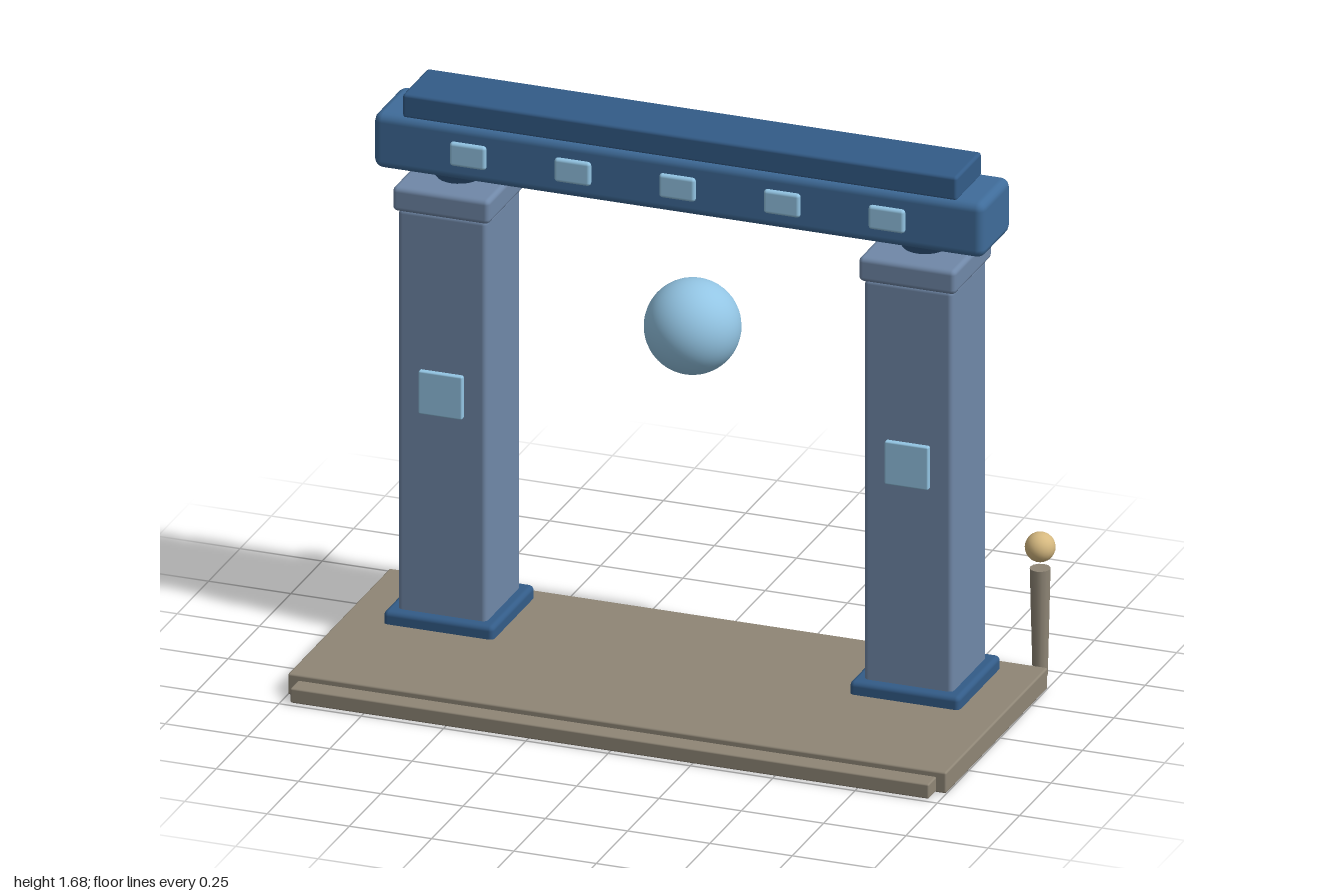
import * as THREE from 'three';
import { RoundedBoxGeometry } from 'three/addons/geometries/RoundedBoxGeometry.js';

const material = (color) => new THREE.MeshStandardMaterial({ color });

export function createModel() {
  const model = new THREE.Group();
  const stone = material(0x8f8676);
  const pillarBlue = material(0x7088a8);
  const deepBlue = material(0x335c88);
  const beamBlue = material(0x3f6c9a);
  const glow = material(0x93c5e4);
  const brass = material(0xd6b980);
  const axisZ = -0.168; // depth line shared by pillars, beam and orb

  const add = (name, geometry, mat, x, y, z, parent = model) => {
    const mesh = new THREE.Mesh(geometry, mat);
    mesh.name = name;
    mesh.position.set(x, y, z);
    parent.add(mesh);
    return mesh;
  };
  // Softly rounded block given by its size, bottom height and centre
  const block = (name, [w, h, d], r, mat, x, bottom, z, parent) =>
    add(name, new RoundedBoxGeometry(w, h, d, 2, r), mat, x, bottom + h / 2, z, parent);

  // Platform with a low front step
  block('platform', [2, 0.065, 0.81], 0.006, stone, 0, 0, 0.025);
  block('frontStep', [1.94, 0.045, 0.1], 0.005, stone, 0, 0.003, 0.44);

  for (const side of [-1, 1]) {
    // Pillar with plinth, capital, neck and front panel
    const pillar = new THREE.Group();
    pillar.name = side > 0 ? 'leftPillar' : 'rightPillar';
    pillar.position.set(side * 0.708, 0, axisZ);
    model.add(pillar);
    block('plinth', [0.335, 0.1, 0.335], 0.015, deepBlue, 0, 0.004, 0, pillar);
    block('shaft', [0.27, 1.26, 0.272], 0.015, pillarBlue, 0, 0.08, 0, pillar);
    block('capital', [0.295, 0.075, 0.298], 0.015, pillarBlue, 0, 1.335, 0, pillar);
    add('neck', new THREE.CylinderGeometry(0.095, 0.06, 0.045, 24), deepBlue, 0, 1.428, 0, pillar);
    block('frontPanel', [0.133, 0.133, 0.03], 0.005, glow, 0, 0.722, 0.136, pillar);

    // Lantern post behind the platform
    const post = new THREE.Group();
    post.name = side > 0 ? 'leftLantern' : 'rightLantern';
    post.position.set(side * 0.95, 0, -0.45);
    model.add(post);
    add('post', new THREE.CylinderGeometry(0.03, 0.022, 0.33, 12), stone, 0, 0.172, 0, post);
    add('lanternBall', new THREE.SphereGeometry(0.044, 20, 14), brass, 0, 0.402, 0, post);
  }

  // Lintel beam with a slab on top
  block('beam', [1.855, 0.17, 0.226], 0.026, beamBlue, 0, 1.442, axisZ);
  block('topSlab', [1.685, 0.075, 0.2], 0.01, deepBlue, 0, 1.605, axisZ);

  // Row of small lights on both faces of the beam
  for (let i = -2; i <= 2; i++) {
    for (const face of [-1, 1]) {
      block('beamLight', [0.11, 0.073, 0.03], 0.01, glow, i * 0.318, 1.49, axisZ + face * 0.11);
    }
  }

  // Floating orb in the opening
  add('orb', new THREE.SphereGeometry(0.139, 40, 28), glow, 0, 1.05, axisZ - 0.005);

  return model;
}
